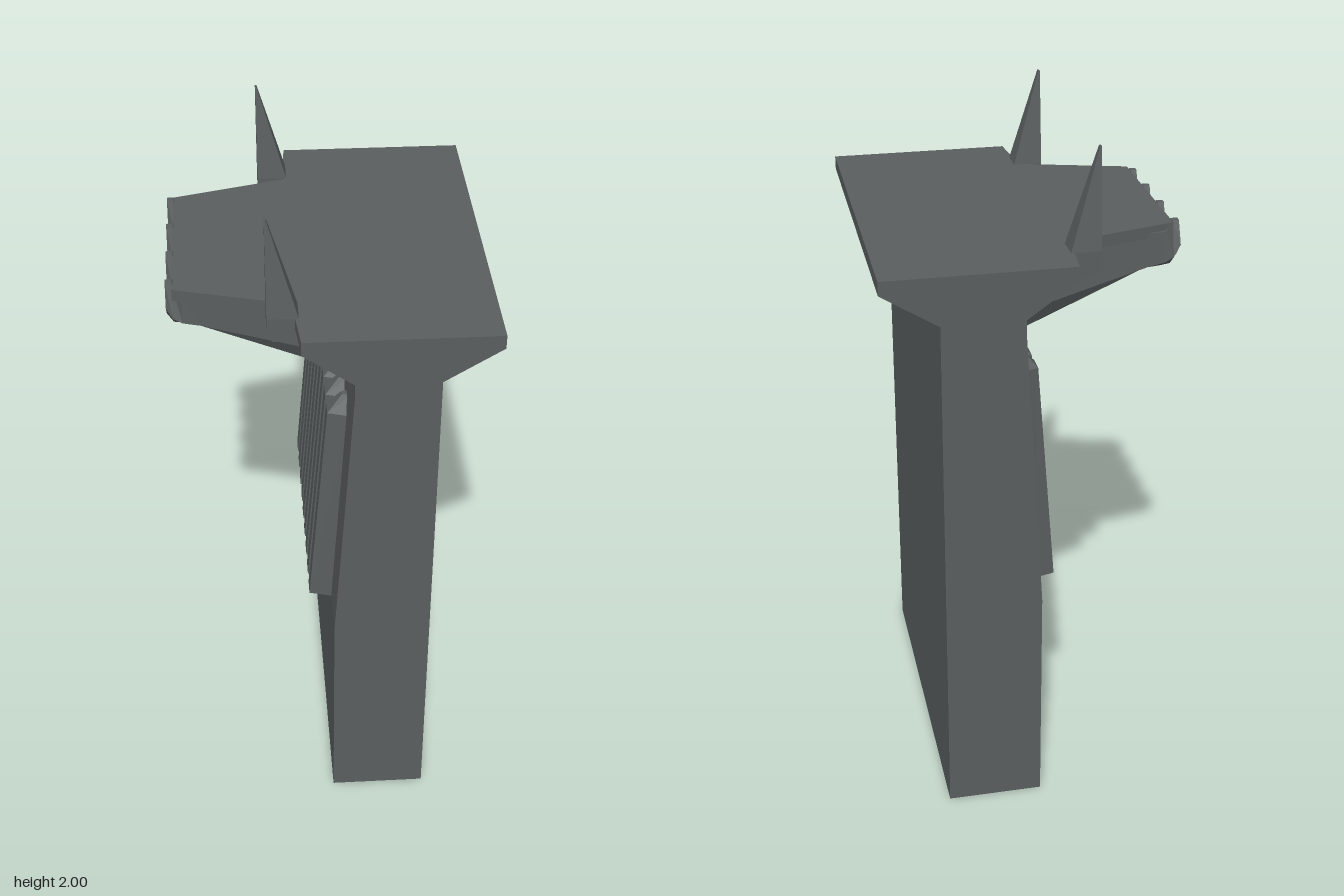
import * as THREE from 'three';

const stone = new THREE.MeshStandardMaterial({ color: 0x5a5e5f });
stone.name = 'darkStone';

// Extrude an (x, y) outline along z, centred on z = 0
function slab(points, depth) {
  const shape = new THREE.Shape(points.map(([x, y]) => new THREE.Vector2(x, y)));
  return new THREE.ExtrudeGeometry(shape, { depth, bevelEnabled: false }).translate(0, 0, -depth / 2);
}

// Flat-faced skin over a row of matching rings
function loft(rings) {
  const pos = [];
  const n = rings[0].length;
  const tri = (a, b, c) => pos.push(...a, ...b, ...c);
  for (let i = 0; i < rings.length - 1; i++) {
    for (let j = 0; j < n; j++) {
      const k = (j + 1) % n;
      const [a, b, c, d] = [rings[i][j], rings[i][k], rings[i + 1][k], rings[i + 1][j]];
      tri(a, b, c);
      tri(a, c, d);
    }
  }
  const first = rings[0], last = rings[rings.length - 1];
  for (let j = 1; j < n - 1; j++) {
    tri(first[0], first[j + 1], first[j]);
    tri(last[0], last[j], last[j + 1]);
  }
  const g = new THREE.BufferGeometry();
  g.setAttribute('position', new THREE.Float32BufferAttribute(pos, 3));
  g.computeVertexNormals();
  return g;
}

export function createModel() {
  const model = new THREE.Group();
  const add = (name, geometry, z = 0) => {
    const mesh = new THREE.Mesh(geometry, stone);
    mesh.name = name;
    mesh.position.z = z;
    model.add(mesh);
  };

  // Wall with the flared cap
  add('wall', slab([
    [0, 0], [0.282, 0], [0.282, 1.58], [0.442, 1.68], [0.442, 1.72],
    [-0.09, 1.72], [-0.09, 1.68], [0.05, 1.58], [0.05, 1.53], [0, 0.69],
  ], 1.046));

  // Tapered balcony floor
  const floor = new THREE.Shape([[-0.09, -0.523], [-0.09, 0.523], [-0.1, 0.41], [-0.1, 0.34],
    [-0.425, 0.25], [-0.425, -0.25], [-0.1, -0.34], [-0.1, -0.41]]
    .map(([x, z]) => new THREE.Vector2(x, z)));
  add('balconyFloor', new THREE.ExtrudeGeometry(floor, { depth: 0.035, bevelEnabled: false })
    .rotateX(Math.PI / 2).translate(0, 1.72, 0));

  // Claw-shaped brackets: x, top height, top half width, side height, ridge height
  const claw = loft([
    [-0.443, 1.724, 0.008, 1.66, 1.62],
    [-0.425, 1.724, 0.01, 1.625, 1.592],
    [-0.4, 1.7, 0.034, 1.61, 1.588],
    [-0.35, 1.7, 0.037, 1.6, 1.583],
    [0.02, 1.7, 0.037, 1.49, 1.42],
    [0.06, 1.7, 0.037, 1.48, 1.42],
  ].map(([x, top, w, side, ridge]) => [
    [x, top, w], [x, side, 0.0375], [x, ridge, 0], [x, side, -0.0375], [x, top, -w],
  ]));
  for (const z of [-0.235, -0.085, 0.065, 0.211]) add('clawBracket', claw, z);

  // Horn supports and horns
  const support = slab([
    [-0.175, 1.72], [-0.175, 1.67], [-0.16, 1.65], [-0.08, 1.64],
    [0.05, 1.53], [0.07, 1.58], [-0.09, 1.72],
  ], 0.076);
  const horn = loft([[1.72, -0.09, 0.038], [2, -0.17, 0.007]].map(([y, x, w]) => [
    [-0.175, y, w], [x, y, w], [x, y, -w], [-0.175, y, -w],
  ]));
  for (const z of [-0.387, 0.372]) {
    add('hornSupport', support, z);
    add('horn', horn, z);
  }

  // Row of flat-fronted flutes down the wall: height, front x, root x, width scale
  const count = 9, pitch = 0.78 / count;
  const flute = loft([
    [0.69, -0.065, 0.002, 1], [1.37, -0.012, 0.045, 1], [1.42, 0.03, 0.055, 0.3],
  ].map(([y, front, root, s]) => [
    [front, y, -0.3 * s * pitch], [front, y, 0.3 * s * pitch],
    [root, y, 0.5 * s * pitch], [root, y, -0.5 * s * pitch],
  ]));
  for (let i = 0; i < count; i++) add('flute', flute, (i - (count - 1) / 2) * pitch - 0.012);

  return model;
}
